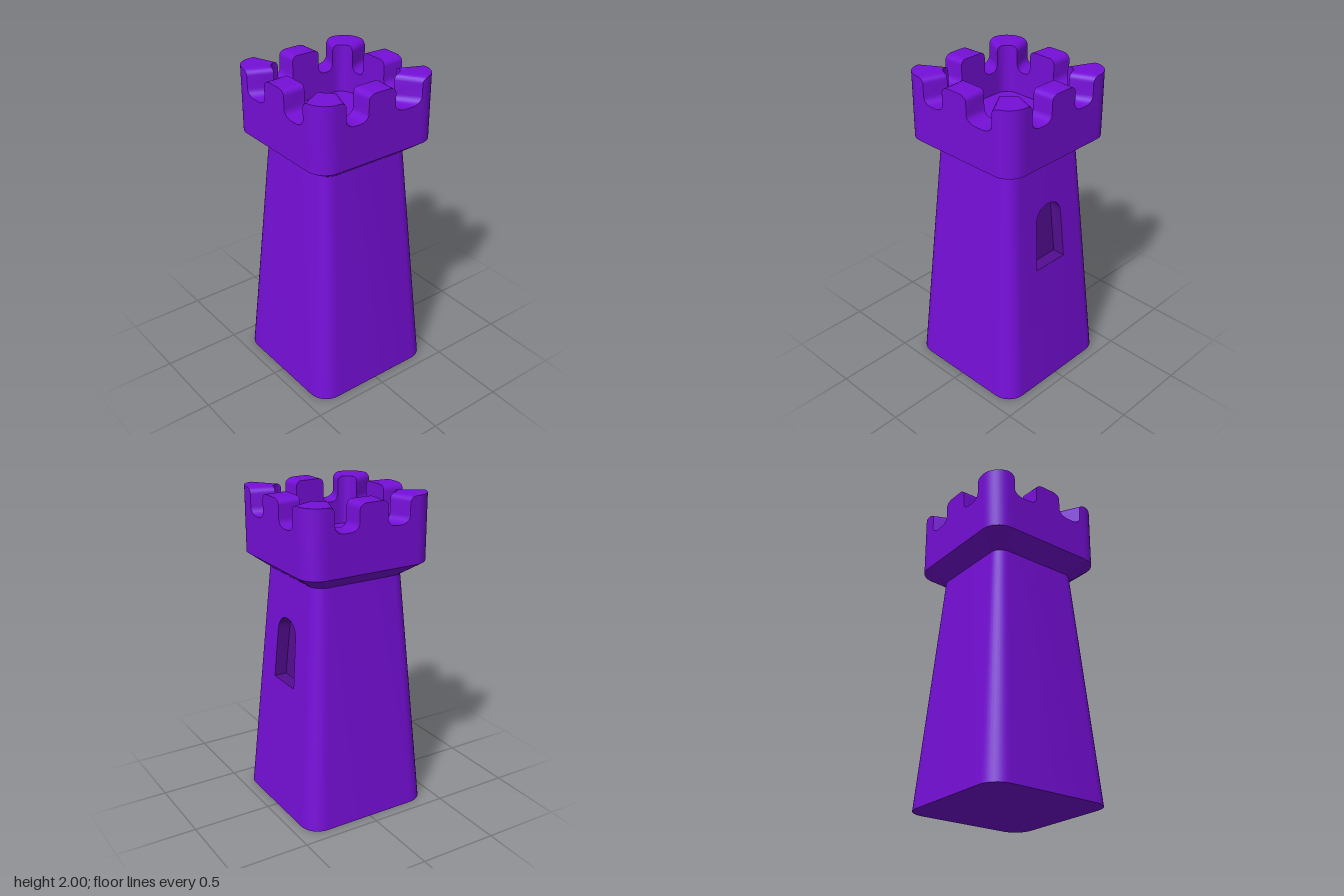
import * as THREE from 'three';
import { toCreasedNormals } from 'three/addons/utils/BufferGeometryUtils.js';

const FLARE_Y = 1.51, CROWN_Y = 1.595, NOTCH_Y = 1.845, TOP_Y = 2, FLOOR_Y = 1.7;
const BASE = { half: 0.43, r: 0.12 }, NECK = { half: 0.307, r: 0.08 };
const CROWN = { half: 0.423, r: 0.12 }, INNER = { half: 0.285, r: 0.08 };
const lerp = THREE.MathUtils.lerp;

// Collects triangles and turns them into a smooth geometry with sharp creases
class Builder {
  constructor() { this.pos = []; }
  tri(a, b, c) {
    const [A, B, C] = [a, b, c].map((p) => new THREE.Vector3(...p));
    if (B.sub(A).cross(C.sub(A)).length() > 1e-9) this.pos.push(...a, ...b, ...c);
  }
  quad(a, b, c, d) { this.tri(a, b, c); this.tri(a, c, d); }
  build(angle = 0.55) {
    const g = new THREE.BufferGeometry();
    g.setAttribute('position', new THREE.Float32BufferAttribute(this.pos, 3));
    g.scale(100, 100, 100);
    return toCreasedNormals(g, angle).scale(0.01, 0.01, 0.01);
  }
}

// Rounded square; the last segment is the flat +x side
function ring({ half, r }, y, n = 8) {
  const pts = [], c = half - r;
  for (let k = 0; k < 4; k++) {
    const mid = (k + 0.5) * Math.PI / 2;
    for (let i = 0; i <= n; i++) {
      const a = (k + i / n) * Math.PI / 2;
      pts.push([Math.sign(Math.cos(mid)) * c + r * Math.cos(a), y,
        Math.sign(Math.sin(mid)) * c + r * Math.sin(a)]);
    }
  }
  return pts;
}

// Point on side k of a rounded square, u running along the side and round its corner
function sidePoint({ half, r }, k, u, y) {
  const c = half - r, over = Math.max(Math.abs(u) - c, 0) / r, s = Math.sign(u);
  const d = c + r * Math.cos(over);
  const w = over > 0 ? s * (c + r * Math.sin(over)) : u;
  const cs = [1, 0, -1, 0][k], sn = [0, 1, 0, -1][k];
  return [cs * d - sn * w, y, sn * d + cs * w];
}

// Sloping +x wall
const wallX = (y) => lerp(BASE.half, NECK.half, y / FLARE_Y);

function windowOutline() {
  const pts = [new THREE.Vector2(-0.12, 0.84), new THREE.Vector2(0.12, 0.84)];
  for (let i = 0; i <= 14; i++) {
    const a = i / 14 * Math.PI;
    const ca = Math.cos(a);
    pts.push(new THREE.Vector2(0.107 * Math.sign(ca) * Math.abs(ca) ** 0.9, 1.15 + 0.1 * Math.sin(a)));
  }
  return pts;
}

function addShape(b, shape, depth) {
  const g = new THREE.ShapeGeometry(shape).toNonIndexed(), p = g.attributes.position;
  const at = (i) => [wallX(p.getY(i)) - depth, p.getY(i), -p.getX(i)];
  for (let i = 0; i < p.count; i += 3) b.tri(at(i), at(i + 1), at(i + 2));
}

function towerGeometry() {
  const b = new Builder();
  const rings = [ring(BASE, 0), ring(NECK, FLARE_Y), ring(CROWN, CROWN_Y)];
  const n = rings[0].length;
  for (let l = 0; l < 2; l++) {
    for (let i = 0; i < n - (l === 0 ? 1 : 0); i++) {
      const j = (i + 1) % n;
      b.quad(rings[l][i], rings[l + 1][i], rings[l + 1][j], rings[l][j]);
    }
  }
  rings[0].forEach((p, i) => b.tri([0, 0, 0], p, rings[0][(i + 1) % n]));
  // +x wall with the window opening
  const c0 = BASE.half - BASE.r, c1 = NECK.half - NECK.r;
  const wall = new THREE.Shape([[-c0, 0], [c0, 0], [c1, FLARE_Y], [-c1, FLARE_Y]]
    .map((p) => new THREE.Vector2(...p)));
  wall.holes.push(new THREE.Path(windowOutline()));
  addShape(b, wall, 0);
  return b.build();
}

function recessGeometry() {
  const b = new Builder(), out = windowOutline(), depth = 0.08;
  out.forEach((p, i) => {
    const q = out[(i + 1) % out.length];
    const at = (v, d) => [wallX(v.y) - d, v.y, -v.x];
    b.quad(at(p, 0), at(q, 0), at(q, depth), at(p, depth));
  });
  addShape(b, new THREE.Shape(out), depth);
  return b.build();
}

// Half of a notch: [fraction of its width, height], rounded at top and bottom
function notchProfile() {
  const half = [], top = 0.035, low = 0.045, w = 0.12;
  for (let i = 0; i <= 5; i++) {
    const a = i / 5 * Math.PI / 2;
    half.push([(-top + top * Math.sin(a)) / w, TOP_Y - top + top * Math.cos(a)]);
  }
  for (let i = 0; i <= 5; i++) {
    const a = i / 5 * Math.PI / 2;
    half.push([(low - low * Math.cos(a)) / w, NOTCH_Y + low - low * Math.sin(a)]);
  }
  return [...half, ...half.map(([s, h]) => [1 - s, h]).reverse()];
}

function crownGeometry() {
  // Outer edges of the notches nearest the corners, per side: +x, +z, -x, -z
  const ends = [[0.25, 0.25], [0.29, 0.25], [0.27, 0.27], [0.245, 0.255]];
  const stations = [];
  const profile = notchProfile();
  const cornerU = (s) => s.half - s.r + s.r * Math.PI / 4;
  ends.forEach(([neg, pos], k) => {
    const us = [];
    const notch = (o0, o1, i0, i1) =>
      profile.forEach(([s, h]) => us.push([lerp(o0, o1, s), lerp(i0, i1, s), h]));
    notch(-neg, -0.095, -0.2, -0.095);
    notch(0.095, pos, 0.095, 0.2);
    const first = us[0], last = us[us.length - 1], N = 6;
    const fill = (from, sign, t) => [lerp(from[0], sign * cornerU(CROWN), t),
      lerp(from[1], sign * cornerU(INNER), t), TOP_Y];
    const before = [], after = [];
    for (let i = 1; i <= N; i++) {
      before.unshift(fill(first, -1, i / N));
      if (i < N) after.push(fill(last, 1, i / N));
    }
    for (const [o, i, h] of [...before, ...us, ...after]) {
      stations.push({
        base: sidePoint(CROWN, k, o, CROWN_Y), out: sidePoint(CROWN, k, o, h),
        inn: sidePoint(INNER, k, i, h), floor: sidePoint(INNER, k, i, FLOOR_Y),
      });
    }
  });
  const b = new Builder();
  stations.forEach((p, i) => {
    const q = stations[(i + 1) % stations.length];
    b.quad(p.base, p.out, q.out, q.base);
    b.quad(p.out, p.inn, q.inn, q.out);
    b.quad(p.inn, p.floor, q.floor, q.inn);
    b.tri([0, FLOOR_Y, 0], q.floor, p.floor);
  });
  return b.build();
}

export function createModel() {
  const purple = new THREE.MeshStandardMaterial({ color: 0x760fd8 });
  purple.name = 'purple';
  const darkPurple = new THREE.MeshStandardMaterial({ color: 0x540e92, side: THREE.DoubleSide });
  darkPurple.name = 'darkPurple';
  const model = new THREE.Group();
  model.name = 'castleTower';
  const add = (name, geometry, material) => {
    const mesh = new THREE.Mesh(geometry, material);
    mesh.name = name;
    model.add(mesh);
  };
  add('towerBody', towerGeometry(), purple);
  add('battlements', crownGeometry(), purple);
  add('windowRecess', recessGeometry(), darkPurple);
  return model;
}
